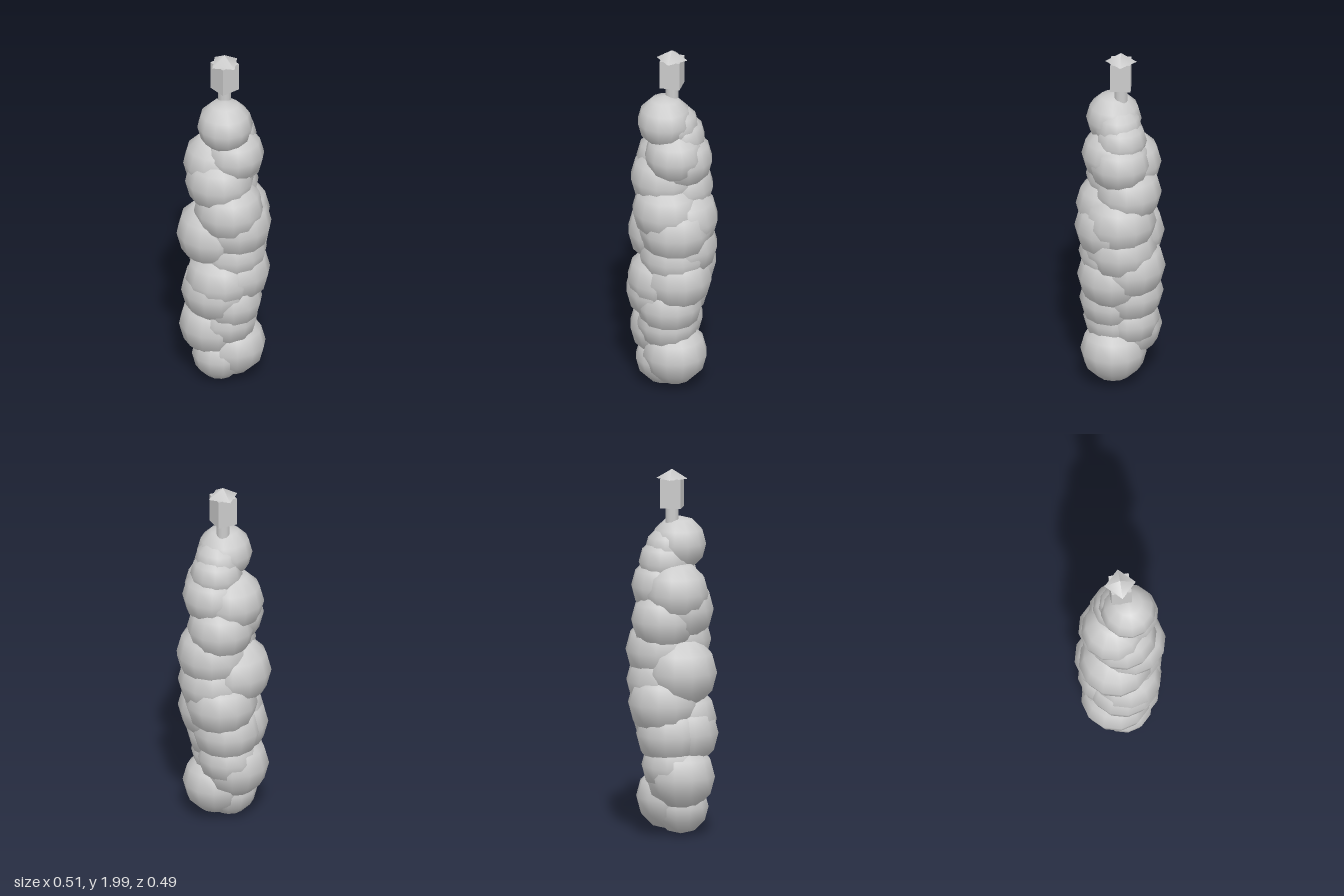
import * as THREE from 'three';

export function createModel() {
  const model = new THREE.Group();
  const grey = new THREE.MeshStandardMaterial({ color: 0xcccccc });
  grey.name = 'plain grey';

  const add = (name, geometry, x, y, z) => {
    const mesh = new THREE.Mesh(geometry, grey);
    mesh.name = name;
    mesh.position.set(x, y, z);
    model.add(mesh);
    return mesh;
  };

  // Stacked, overlapping lobes of the column: x, y, z, radius
  const lobes = [
    [-0.045, 0.16, 0.01, 0.152],
    [0.025, 0.205, 0.035, 0.178],
    [-0.05, 0.33, -0.035, 0.19],
    [-0.015, 0.385, 0.03, 0.17],
    [-0.01, 0.39, -0.045, 0.17],
    [-0.005, 0.5, 0.04, 0.18],
    [-0.06, 0.565, 0, 0.193],
    [0, 0.56, -0.045, 0.19],
    [-0.05, 0.64, 0.02, 0.19],
    [0.035, 0.73, -0.05, 0.198],
    [0.035, 0.665, 0.035, 0.195],
    [0.02, 0.8, 0.033, 0.19],
    [0.052, 0.845, -0.005, 0.198],
    [-0.052, 0.9, -0.038, 0.2],
    [0.03, 0.96, 0.045, 0.2],
    [0.055, 1.01, 0, 0.2],
    [-0.015, 1.07, 0.05, 0.19],
    [0.035, 1.18, -0.045, 0.182],
    [-0.04, 1.24, 0, 0.187],
    [-0.03, 1.33, -0.045, 0.177],
    [0.055, 1.36, 0, 0.169],
    [0.025, 1.4, 0.045, 0.162],
    [0.04, 1.49, -0.005, 0.142],
    [0.02, 1.56, 0.01, 0.13],
    [-0.03, 1.59, 0.035, 0.15],
  ];
  const lobeGeometry = new THREE.SphereGeometry(1, 12, 6);
  lobes.forEach(([x, y, z, r], i) => {
    add(`lobe${i + 1}`, lobeGeometry, x, y, z).scale.setScalar(r);
  });

  // Post, box and four-sided cap on top
  add('post', new THREE.CylinderGeometry(0.036, 0.036, 0.19, 12), 0, 1.7, -0.005);
  add('topBox', new THREE.BoxGeometry(0.11, 0.16, 0.11), 0, 1.87, -0.005);
  add('cap', new THREE.ConeGeometry(0.086, 0.052, 4), 0, 1.974, -0.005);

  return model;
}
